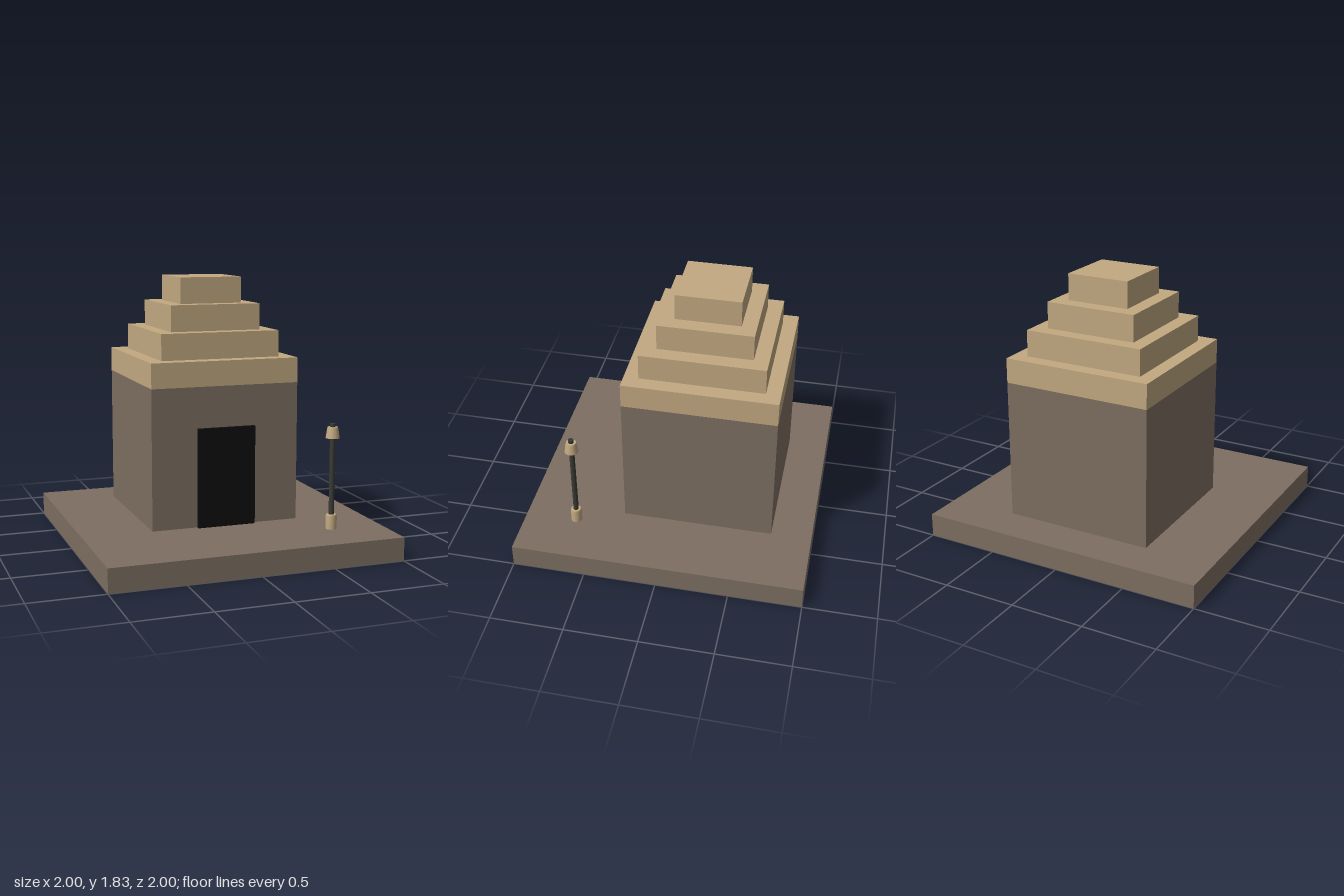
import * as THREE from 'three';

const material = (name, color) => {
  const m = new THREE.MeshStandardMaterial({ color });
  m.name = name;
  return m;
};

export function createModel() {
  const stone = material('brownStone', 0x7d6e61);
  const sand = material('sandstone', 0xc1a880);
  const black = material('doorBlack', 0x0d0d0d);
  const iron = material('darkIron', 0x3a3a34);
  const model = new THREE.Group();
  model.name = 'steppedShrine';

  const add = (parent, name, geometry, mat, x, y, z) => {
    const mesh = new THREE.Mesh(geometry, mat);
    mesh.name = name;
    mesh.position.set(x, y, z);
    parent.add(mesh);
  };
  // Box resting on the height y0
  const block = (name, w, y0, y1, d, mat, z) =>
    add(model, name, new THREE.BoxGeometry(w, y1 - y0, d), mat, 0, (y0 + y1) / 2, z);

  // Ground slab, chamber and doorway
  const centreZ = -0.2;
  block('groundSlab', 2, 0, 0.16, 2, stone, 0);
  block('chamber', 1.04, 0.16, 1.12, 1.04, stone, centreZ);
  block('door', 0.405, 0.16, 0.84, 0.03, black, 0.333);

  // Stepped roof
  const levels = [1.12, 1.29, 1.47, 1.65, 1.83];
  for (let i = 0; i < 4; i++) {
    const w = 1.04 - i * 0.201;
    block(`roofTier${i + 1}`, w, levels[i], levels[i + 1], w, sand, centreZ);
  }

  // Lamp post: round iron pole with a sandstone foot and collar
  const lamp = new THREE.Group();
  lamp.name = 'lampPost';
  lamp.position.set(0.64, 0.16, 0.64);
  model.add(lamp);
  const turned = (points) =>
    new THREE.LatheGeometry(points.map(([r, y]) => new THREE.Vector2(r, y)), 24);
  add(lamp, 'pole', new THREE.CylinderGeometry(0.018, 0.018, 0.72, 24), iron, 0, 0.36, 0);
  // Repeated points keep the rims crisp
  add(lamp, 'foot', turned([
    [0, 0], [0.038, 0], [0.038, 0], [0.038, 0.09], [0.033, 0.1], [0.033, 0.1], [0, 0.1],
  ]), sand, 0, 0, 0);
  add(lamp, 'collar', turned([
    [0, 0], [0.047, 0], [0.047, 0], [0.038, 0.06], [0.034, 0.075], [0.034, 0.075], [0, 0.075],
  ]), sand, 0, 0.622, 0);

  return model;
}
